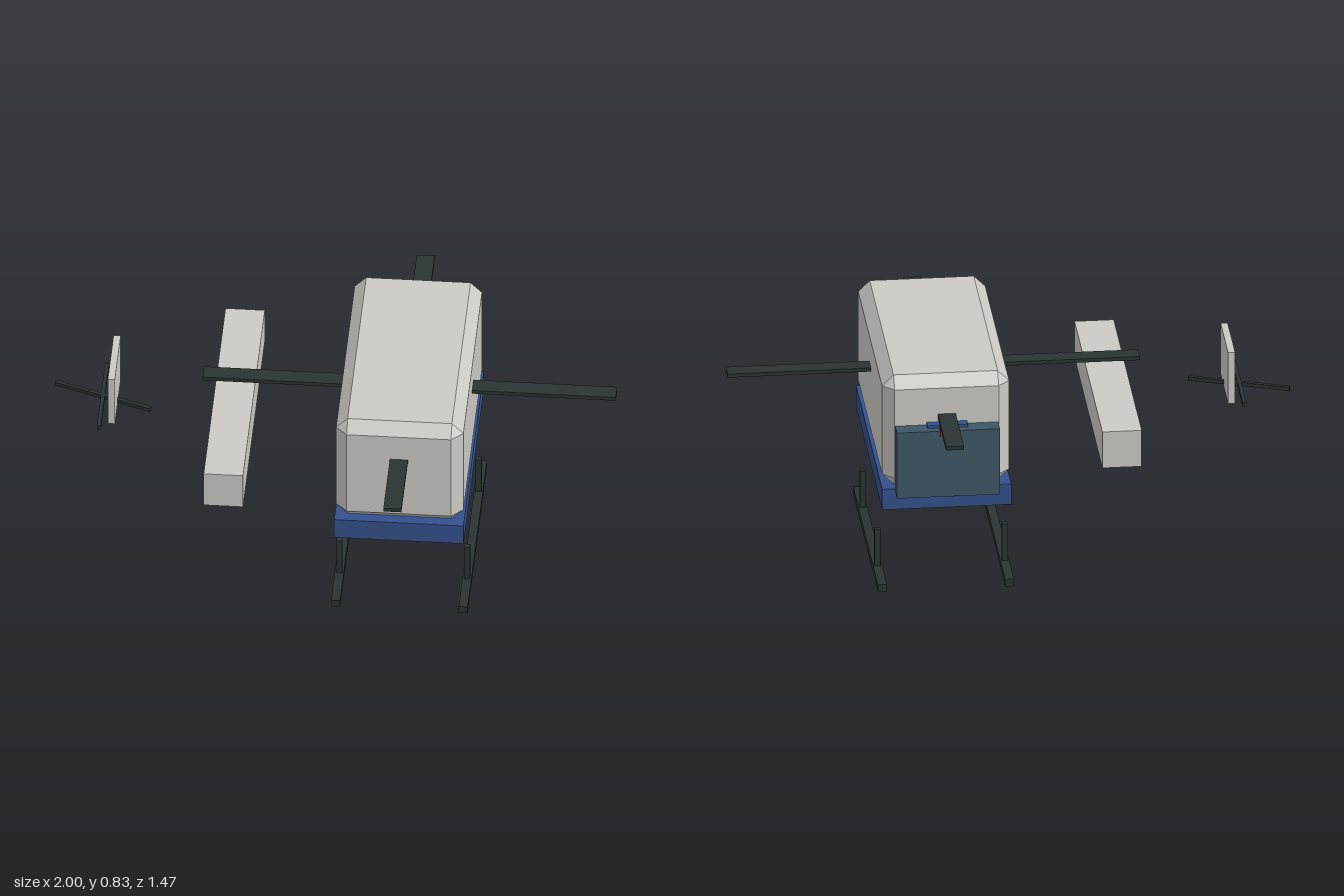
import * as THREE from 'three';
import { ConvexGeometry } from 'three/addons/geometries/ConvexGeometry.js';

const mat = (name, color) => {
  const m = new THREE.MeshStandardMaterial({ color });
  m.name = name;
  return m;
};

// Box with every edge cut at 45 degrees
function chamferedBox(w, h, d, c) {
  const [x, y, z] = [w / 2, h / 2, d / 2];
  const points = [];
  for (const i of [-1, 1]) for (const j of [-1, 1]) for (const k of [-1, 1]) {
    points.push(
      new THREE.Vector3(i * x, j * (y - c), k * (z - c)),
      new THREE.Vector3(i * (x - c), j * y, k * (z - c)),
      new THREE.Vector3(i * (x - c), j * (y - c), k * z));
  }
  return new ConvexGeometry(points);
}

export function createModel() {
  const model = new THREE.Group();
  const shell = mat('paleGrey', 0xcccac4);
  const blue = mat('blue', 0x34508c);
  const dark = mat('darkGreenBlack', 0x2a3432);
  const teal = mat('slateTeal', 0x3d5766);
  const red = mat('red', 0xa8323a);
  const cx = 0.262; // centre line of the cabin

  const add = (name, geometry, material, x, y, z) => {
    const mesh = new THREE.Mesh(geometry, material);
    mesh.name = name;
    mesh.position.set(x, y, z);
    model.add(mesh);
    return mesh;
  };
  const box = (name, material, w, h, d, x, y, z) =>
    add(name, new THREE.BoxGeometry(w, h, d), material, x, y, z);

  // Cabin and its belly
  add('cabin', chamferedBox(0.453, 0.425, 0.9, 0.041), shell, cx, 0.6225, 0);
  box('belly', blue, 0.46, 0.08, 0.9, cx, 0.37, 0);

  // Rear pack with its latch plate and light
  box('rearPack', teal, 0.368, 0.255, 0.07, cx, 0.526, -0.475);
  box('latchPlate', blue, 0.144, 0.06, 0.04, cx, 0.634, -0.462);
  box('rearLight', red, 0.06, 0.028, 0.042, cx, 0.652, -0.503);

  // Main rotor: two crossed blades
  box('mainBladeAcross', dark, 1.47, 0.014, 0.062, 0.265, 0.687, 0);
  box('mainBladeAlong', dark, 0.064, 0.014, 1.47, cx, 0.687, 0);

  // Tail boom and fin
  box('tailBoom', shell, 0.14, 0.14, 0.96, -0.36, 0.54, 0);
  box('tailFin', shell, 0.025, 0.198, 0.255, -0.787, 0.639, 0);

  // Tail rotor: one blade straight, one turned
  box('tailBladeAlong', dark, 0.014, 0.014, 0.37, -0.827, 0.561, -0.003);
  box('tailBladeTurned', dark, 0.37, 0.014, 0.014, -0.827, 0.561, -0.003)
    .rotation.y = -THREE.MathUtils.degToRad(20);

  // Landing skids with two struts each
  for (const side of [-1, 1]) {
    const x = cx + side * 0.227;
    box('skid', dark, 0.032, 0.028, 0.85, x, 0.014, 0);
    for (const z of [-0.254, 0.254]) {
      box('skidStrut', dark, 0.021, 0.15, 0.021, x, 0.095, z);
    }
  }
  return model;
}
